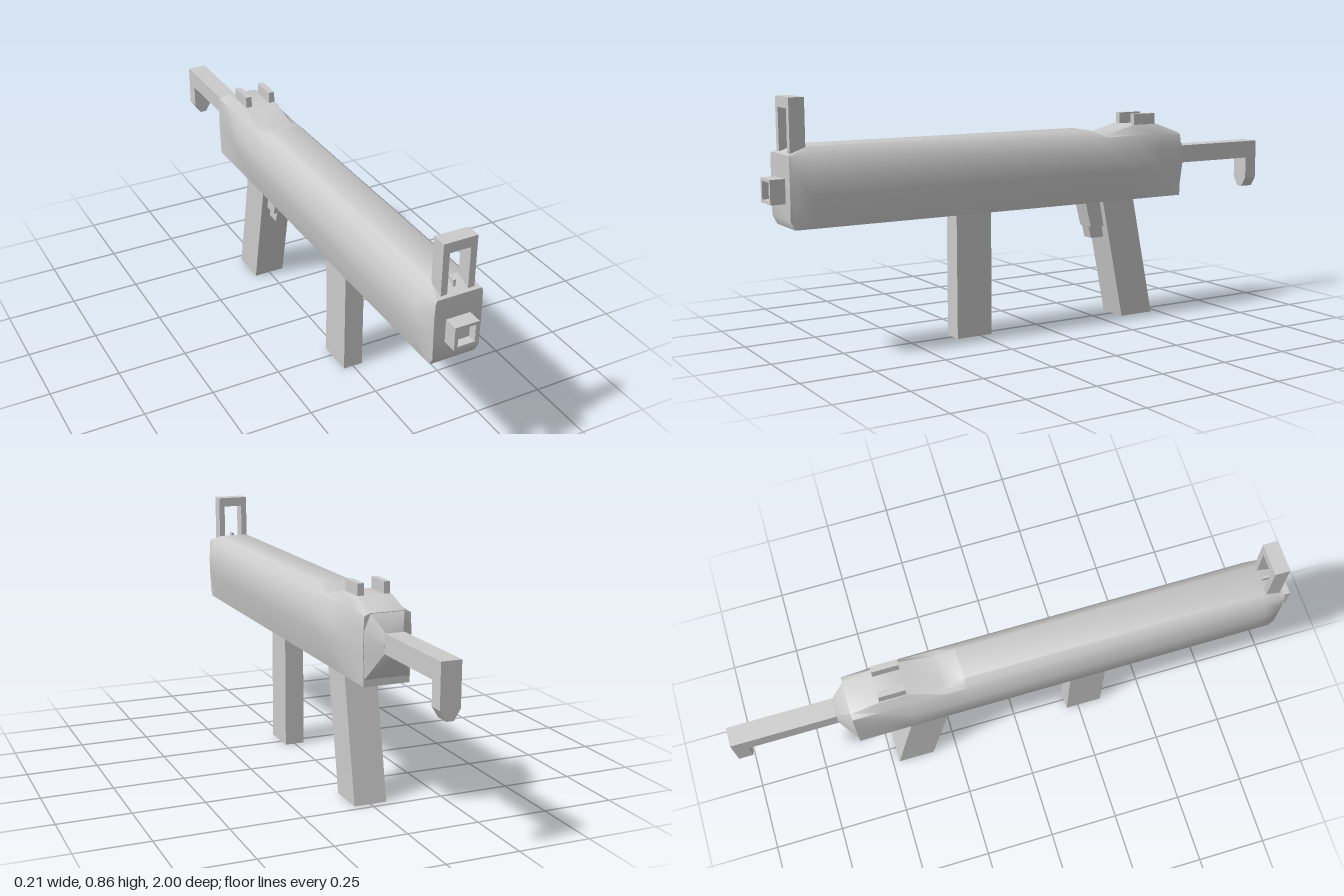
import * as THREE from 'three';
import { toCreasedNormals } from 'three/addons/utils/BufferGeometryUtils.js';

const material = new THREE.MeshStandardMaterial({ color: 0xcccccc });

function add(parent, name, geometry, x = 0, y = 0, z = 0) {
  const mesh = new THREE.Mesh(geometry, material);
  mesh.name = name;
  mesh.position.set(x, y, z);
  parent.add(mesh);
  return mesh;
}

// Box given by its limits on each axis
function block(parent, name, [x0, x1], [y0, y1], [z0, z1]) {
  return add(parent, name, new THREE.BoxGeometry(x1 - x0, y1 - y0, z1 - z0),
    (x0 + x1) / 2, (y0 + y1) / 2, (z0 + z1) / 2);
}

// Solid with a side outline of [z, y] points, centred across x
function sideSolid(parent, name, outline, width) {
  const shape = new THREE.Shape(outline.map(([z, y]) => new THREE.Vector2(-z, y)));
  const geometry = new THREE.ExtrudeGeometry(shape, { depth: width, bevelEnabled: false });
  geometry.translate(0, 0, -width / 2).rotateY(Math.PI / 2);
  return add(parent, name, geometry);
}

// Solid with a front outline of [x, y] points, running from z0 to z1
function frontSolid(parent, name, outline, hole, z0, z1) {
  const toPoints = (list) => list.map(([x, y]) => new THREE.Vector2(x, y));
  const shape = new THREE.Shape(toPoints(outline));
  if (hole) shape.holes.push(new THREE.Path(toPoints(hole)));
  return add(parent, name,
    new THREE.ExtrudeGeometry(shape, { depth: z1 - z0, bevelEnabled: false }), 0, 0, z0);
}

const rect = (w, y0, y1) => [[-w, y0], [w, y0], [w, y1], [-w, y1]];

// Skin over mirrored cross-sections listed from front to back
function loft(sections, crease) {
  const positions = [];
  const indices = [];
  const n = sections[0].points.length * 2;
  for (const { z, points } of sections) {
    for (const [x, y] of points) positions.push(x, y, z);
    for (const [x, y] of [...points].reverse()) positions.push(-x, y, z);
  }
  for (let s = 0; s < sections.length - 1; s++) {
    for (let i = 0; i < n; i++) {
      const j = (i + 1) % n;
      const a = s * n + i, b = s * n + j, c = a + n, d = b + n;
      indices.push(a, c, b, b, c, d);
    }
  }
  const last = (sections.length - 1) * n;
  for (let i = 1; i < n - 1; i++) {
    indices.push(0, i, i + 1, last, last + i + 1, last + i);
  }
  const geometry = new THREE.BufferGeometry();
  geometry.setAttribute('position', new THREE.Float32BufferAttribute(positions, 3));
  geometry.setIndex(indices);
  return toCreasedNormals(geometry, crease);
}

export function createModel() {
  const model = new THREE.Group();
  model.name = 'model';

  // Body: z, bottom height, half-widths (bottom, middle, shoulder, top), shoulder and top heights
  const rows = [
    [0.95, 0.47, 0.081, 0.083, 0.081, 0.076, 0.668, 0.676],
    [0.935, 0.44, 0.08, 0.087, 0.082, 0.074, 0.67, 0.68],
    [0.88, 0.44, 0.08, 0.107, 0.082, 0.055, 0.675, 0.70],
    [-0.19, 0.44, 0.08, 0.107, 0.082, 0.055, 0.675, 0.70],
    [-0.26, 0.44, 0.08, 0.107, 0.082, 0.06, 0.672, 0.678],
    [-0.38, 0.44, 0.08, 0.107, 0.082, 0.06, 0.675, 0.71],
    [-0.49, 0.44, 0.08, 0.087, 0.082, 0.06, 0.675, 0.71],
    [-0.585, 0.44, 0.08, 0.083, 0.08, 0.06, 0.668, 0.676],
  ];
  const sections = rows.map(([z, y0, wb, wm, ws, wt, ys, yt]) => ({
    z, points: [[wb, y0], [wm, 0.55], [wm, 0.62], [ws, ys], [wt, yt]],
  }));
  add(model, 'body', loft(sections, 0.75));

  // Tapered collar joining the body to the stock
  add(model, 'rearCollar', loft([
    { z: -0.583, points: [[0.08, 0.46], [0.083, 0.55], [0.083, 0.62], [0.06, 0.676]] },
    { z: -0.635, points: [[0.033, 0.555], [0.035, 0.575], [0.035, 0.60], [0.03, 0.62]] },
  ], 0.75));

  // Stock rod and its hooked end with clipped lower corners
  block(model, 'stockRod', [-0.034, 0.034], [0.555, 0.62], [-0.96, -0.62]);
  frontSolid(model, 'stockHook',
    [[-0.012, 0.44], [0.012, 0.44], [0.034, 0.475], [0.034, 0.62], [-0.034, 0.62], [-0.034, 0.475]],
    null, -1, -0.95);

  // Square muzzle with a shallow bore
  frontSolid(model, 'muzzle', rect(0.042, 0.52, 0.60), rect(0.03, 0.53, 0.59), 0.94, 1);
  block(model, 'boreEnd', [-0.032, 0.032], [0.528, 0.592], [0.94, 0.97]);

  // Front sight frame and thin post
  frontSolid(model, 'frontSight',
    [[-0.058, 0.66], [-0.036, 0.66], [-0.036, 0.82], [0.036, 0.82], [0.036, 0.66],
      [0.058, 0.66], [0.058, 0.855], [-0.058, 0.855]], null, 0.886, 0.938);
  block(model, 'frontSightPost', [-0.004, 0.004], [0.67, 0.708], [0.89, 0.92]);

  // Rear sight pair
  for (const side of [-1, 1]) {
    const sight = block(model, 'rearSight', [-0.011, 0.011], [0.69, 0.75], [-0.482, -0.388]);
    sight.position.x = side * 0.046;
  }

  // Straight front grip and raked rear grip
  block(model, 'frontGrip', [-0.036, 0.036], [0, 0.46], [0.205, 0.34]);
  sideSolid(model, 'rearGrip', [[-0.249, 0.45], [-0.34, 0], [-0.475, 0], [-0.384, 0.45]], 0.116);

  // Trigger housing and trigger
  sideSolid(model, 'triggerHousing', [[-0.188, 0.45], [-0.215, 0.343], [-0.29, 0.343], [-0.27, 0.45]], 0.07);
  sideSolid(model, 'trigger', [[-0.212, 0.35], [-0.225, 0.3], [-0.3, 0.3], [-0.29, 0.35]], 0.044);

  return model;
}
